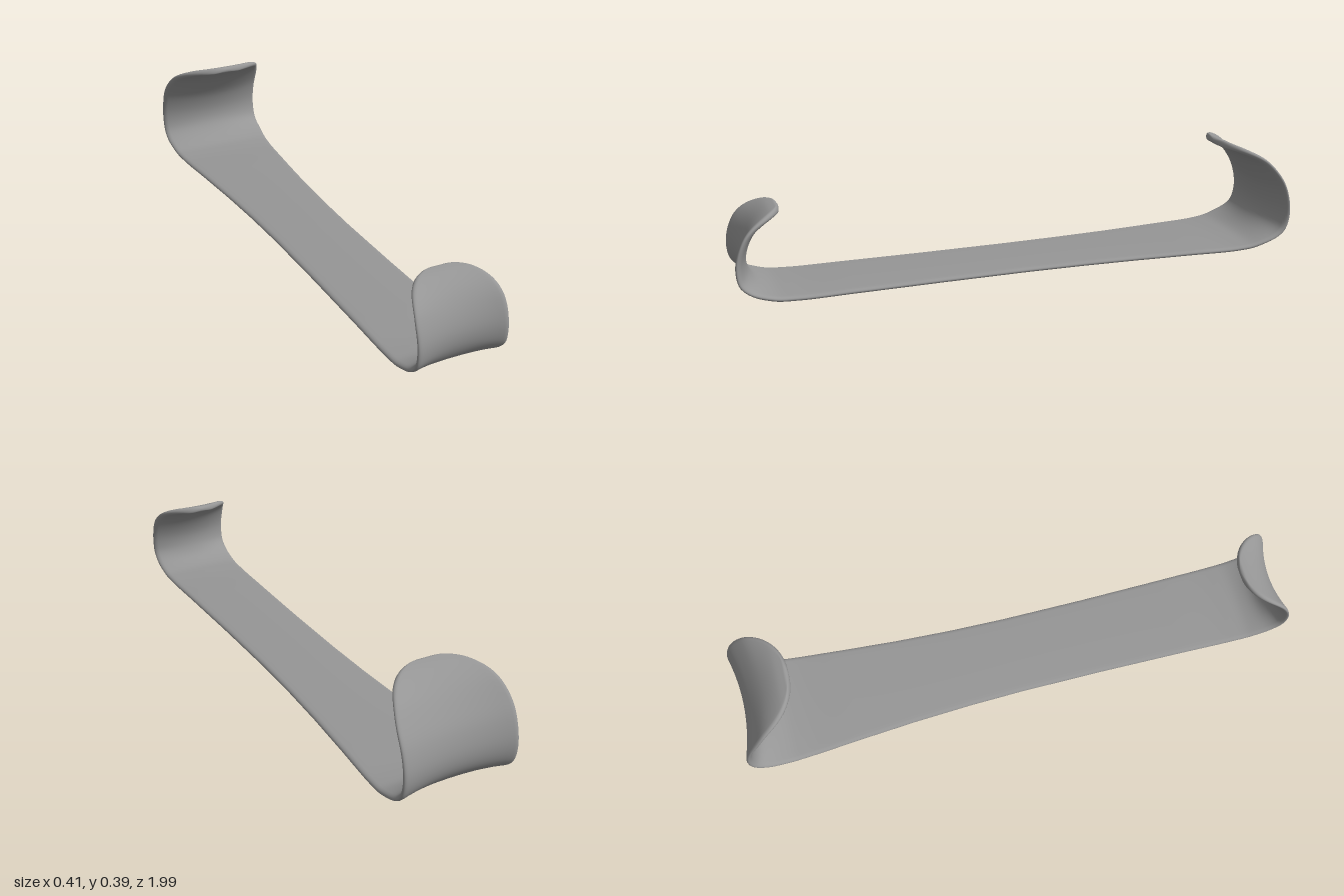
import * as THREE from 'three';

// Centre line of the strip as [z, y], from the front hook tip to the back hook tip
const PATH = [
  [0.828, 0.297], [0.866, 0.285], [0.908, 0.251], [0.941, 0.197], [0.956, 0.14], [0.95, 0.09],
  [0.925, 0.05], [0.875, 0.024], [0.8, 0.016], [0.6, 0.015], [0, 0.015], [-0.6, 0.015],
  [-0.8, 0.017], [-0.865, 0.027], [-0.92, 0.06], [-0.95, 0.1], [-0.958, 0.15], [-0.942, 0.22],
  [-0.907, 0.28], [-0.862, 0.333], [-0.815, 0.368], [-0.772, 0.384],
];
// Half width along z
const WIDTHS = [
  [-0.92, 0.203], [-0.8, 0.192], [-0.6, 0.175], [-0.4, 0.16], [-0.2, 0.15], [0, 0.145],
  [0.3, 0.145], [0.6, 0.149], [0.92, 0.155],
];
const HALF_THICK = 0.012;
const FLARE = 0.032;

function halfWidth(z, y) {
  const q = THREE.MathUtils.clamp(y > 0.06 ? Math.sign(z) : z, -0.92, 0.92);
  let i = 1;
  while (i < WIDTHS.length - 1 && WIDTHS[i][0] < q) i++;
  const [z0, w0] = WIDTHS[i - 1], [z1, w1] = WIDTHS[i];
  return THREE.MathUtils.mapLinear(q, z0, z1, w0, w1);
}

// Rounds off an end: 0 at the tip, 1 once the distance exceeds the length
function roundOff(dist, length, power) {
  const t = Math.max(0, 1 - dist / length);
  return Math.pow(Math.max(0, 1 - Math.pow(t, power)), 1 / power);
}

// Rounded section, thinner towards the sides, as [x, n], counter-clockwise
function section(w, h, full) {
  const pts = [], r = Math.min(w, HALF_THICK * 1.3), arc = 8, flat = 20;
  const add = (x, n) => pts.push([x, n * (1 - 0.3 * (x / full) ** 2)]);
  for (const side of [1, -1]) {
    for (let k = 0; k <= arc; k++) {
      const a = -Math.PI / 2 + (Math.PI * k) / arc;
      add(side * (w - r + r * Math.cos(a)), side * h * Math.sin(a));
    }
    for (let k = 1; k < flat; k++) add(side * (w - r) * (1 - (2 * k) / flat), side * h);
  }
  return pts;
}

function stripGeometry() {
  const curve = new THREE.CatmullRomCurve3(PATH.map(([z, y]) => new THREE.Vector3(0, y, z)));
  curve.arcLengthDivisions = 3000;
  const length = curve.getLength(), rows = 300;
  const pos = [], idx = [];
  let m = 0;
  for (let i = 0; i <= rows; i++) {
    // Rows crowd together towards both tips
    const u = 0.5 * (1 - Math.cos((Math.PI * i) / rows));
    const p = curve.getPointAt(u), t = curve.getTangentAt(u);
    const full = halfWidth(p.z, p.y);
    const dist = Math.min(u, 1 - u) * length;
    const w = full * roundOff(dist, p.z > 0 ? 0.18 : 0.24, 2.2);
    const h = HALF_THICK * roundOff(dist, 0.012, 2);
    // The side edges of the hooks flare outward, less so at the tips
    const flare = FLARE * THREE.MathUtils.smoothstep(p.y, 0.016, 0.1)
      * (0.25 + 0.75 * THREE.MathUtils.smoothstep(dist, 0, 0.14));
    const loop = section(w, h, full);
    m = loop.length;
    for (const [x, n] of loop) {
      const d = n + flare * (x / full) ** 2;
      pos.push(x, p.y + t.z * d, p.z - t.y * d);
    }
  }
  for (let i = 0; i < rows; i++) {
    for (let j = 0; j < m; j++) {
      const a = i * m + j, b = i * m + ((j + 1) % m);
      idx.push(a, b, a + m, b, b + m, a + m);
    }
  }
  const geo = new THREE.BufferGeometry();
  geo.setAttribute('position', new THREE.Float32BufferAttribute(pos, 3));
  geo.setIndex(idx);
  geo.computeVertexNormals();
  return geo;
}

export function createModel() {
  const group = new THREE.Group();
  group.name = 'hookedStrip';
  const strip = new THREE.Mesh(stripGeometry(), new THREE.MeshStandardMaterial({ color: 0x969696 }));
  strip.name = 'stripWithCurledEnds';
  group.add(strip);
  return group;
}
